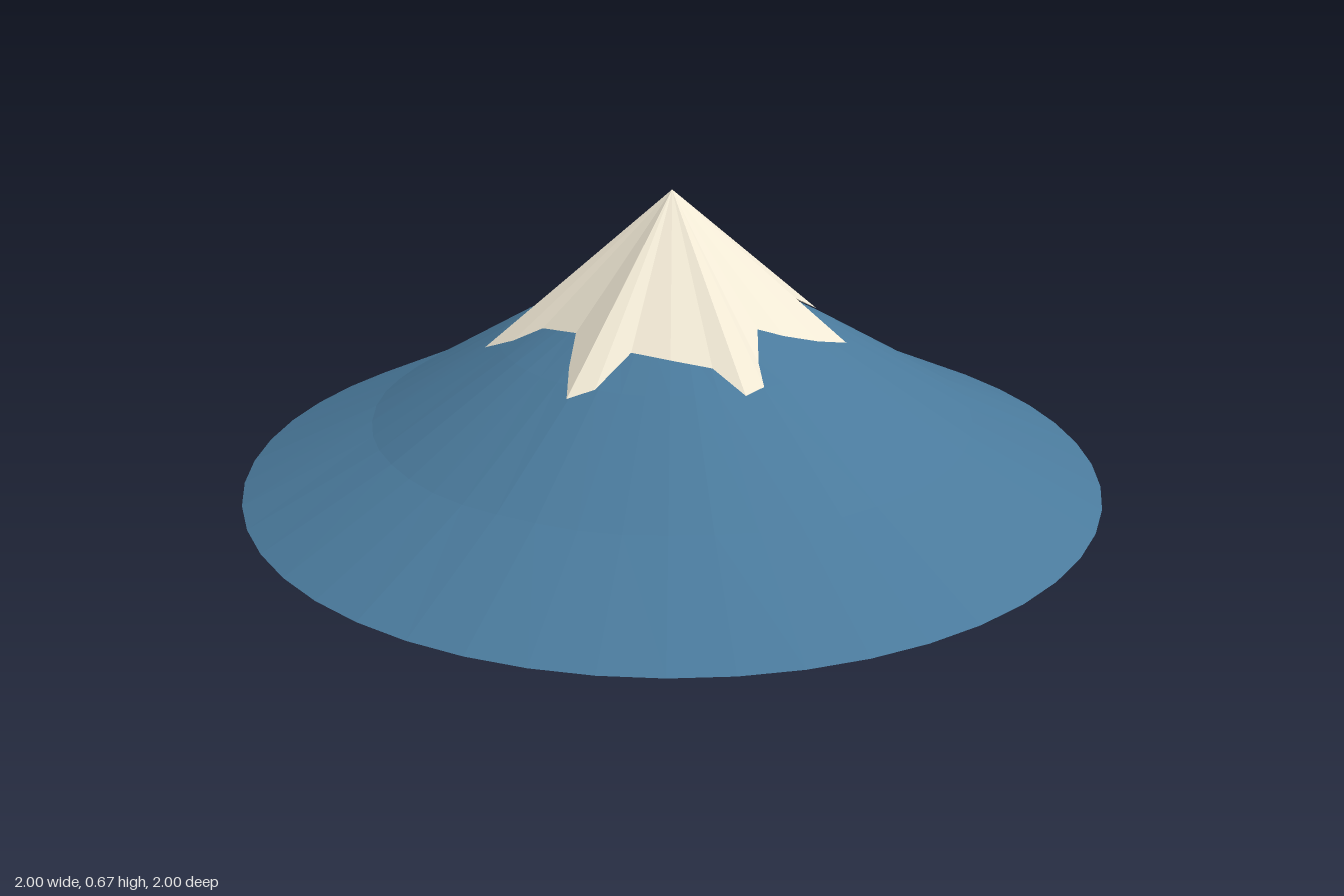
import * as THREE from 'three';

const PEAK = 0.67;

// Snow edge as x, z pairs, running from the left side round by the front
const SNOW_EDGE = [
  0.40, 0.06, 0.33, 0.13, 0.25, 0.18, 0.19, 0.20, 0.19, 0.29, 0.20, 0.35,
  0.16, 0.385, 0.09, 0.33, 0, 0.32, -0.085, 0.295, -0.16, 0.37, -0.22, 0.38,
  -0.22, 0.29, -0.21, 0.20, -0.29, 0.12, -0.36, 0.10, -0.43, 0.06, -0.37, 0,
  -0.29, -0.04, -0.28, -0.13, -0.30, -0.22, -0.30, -0.30, -0.22, -0.30, -0.14, -0.25,
  -0.10, -0.255, -0.08, -0.34, -0.01, -0.365, 0.055, -0.40, 0.10, -0.375, 0.095, -0.30,
  0.12, -0.225, 0.19, -0.255, 0.28, -0.28, 0.345, -0.15, 0.26, -0.04, 0.33, 0,
];

function makeMaterial(color) {
  return new THREE.MeshStandardMaterial({ color, flatShading: true, side: THREE.DoubleSide });
}

// Concave slope with a closed base and faint radial ridges
function makeMountain() {
  const profile = [[0, 0], [1, 0], [0.7, 0.145], [0.4, 0.325], [0.28, 0.388], [0, PEAK - 0.008]];
  const geometry = new THREE.LatheGeometry(profile.map(([r, y]) => new THREE.Vector2(r, y)), 48);
  const pos = geometry.attributes.position;
  for (let i = 0; i < pos.count; i++) {
    const x = pos.getX(i), y = pos.getY(i), z = pos.getZ(i);
    const r = Math.hypot(x, z);
    if (r < 0.3 || r > 0.9) continue;
    const a = Math.atan2(z, x);
    pos.setY(i, y - 0.003 * (1 + Math.sin(7 * a) * Math.cos(4 * a + 1)));
  }
  const mesh = new THREE.Mesh(geometry, makeMaterial(0x4a7a9c));
  mesh.name = 'mountainSlope';
  return mesh;
}

// Folded fan from the peak: long tongues ride high, the notches between sink to the slope
function makeSnowCap() {
  const points = [0, PEAK, 0];
  const index = [];
  const n = SNOW_EDGE.length / 2;
  for (let i = 0; i < n; i++) {
    const x = SNOW_EDGE[2 * i], z = SNOW_EDGE[2 * i + 1];
    const r = Math.hypot(x, z);
    const fall = 0.84 + 0.85 * (0.42 - r);
    points.push(x, PEAK - fall * r, z);
    index.push(0, 1 + (i + 1) % n, 1 + i);
  }
  const geometry = new THREE.BufferGeometry();
  geometry.setAttribute('position', new THREE.Float32BufferAttribute(points, 3));
  geometry.setIndex(index);
  geometry.computeVertexNormals();
  const mesh = new THREE.Mesh(geometry, makeMaterial(0xf0e8d4));
  mesh.name = 'snowCap';
  return mesh;
}

export function createModel() {
  const group = new THREE.Group();
  group.name = 'snowyMountain';
  group.add(makeMountain(), makeSnowCap());
  return group;
}
